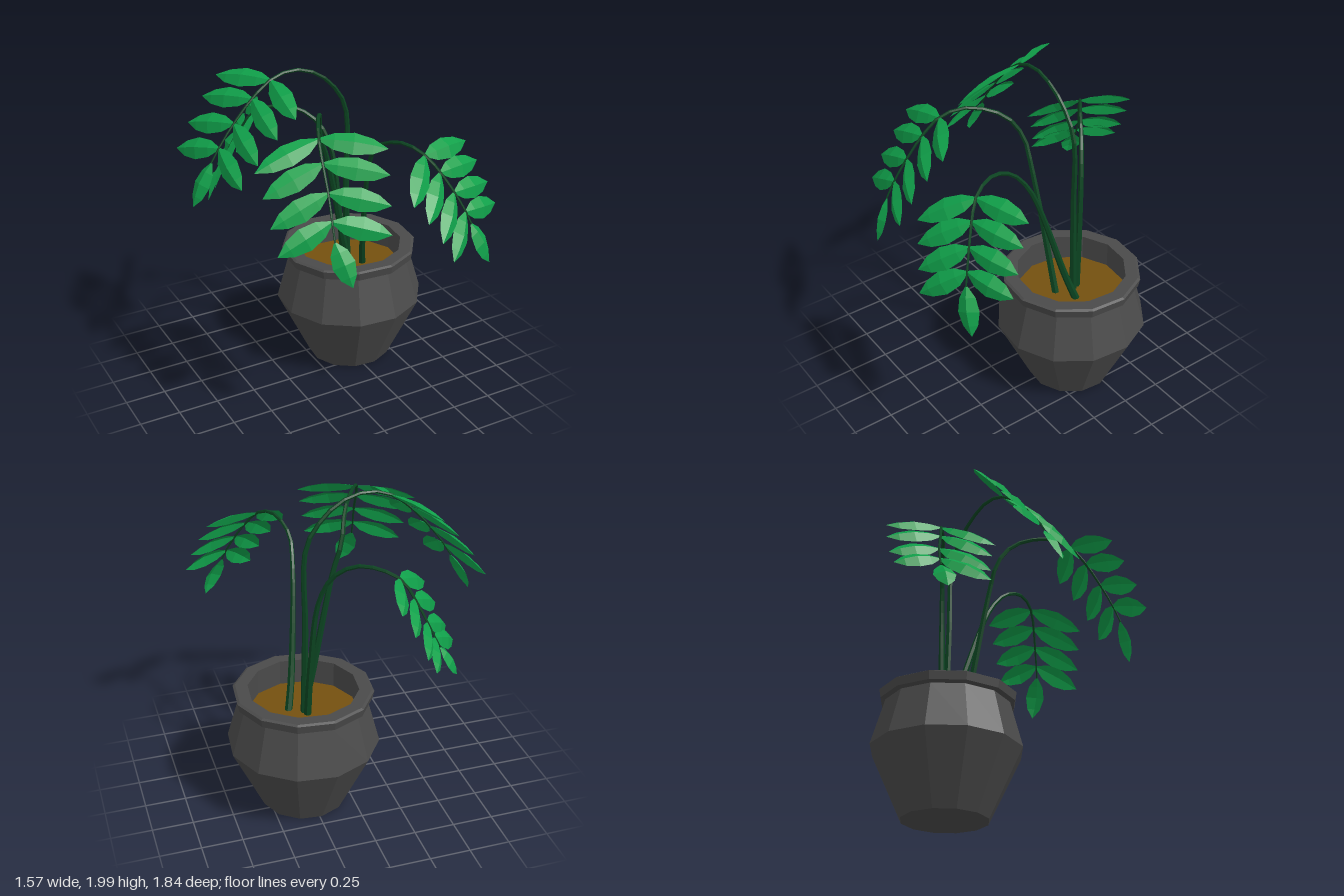
import * as THREE from 'three';

const mat = (name, color, side = THREE.FrontSide) => {
  const m = new THREE.MeshStandardMaterial({ color, flatShading: true, side });
  m.name = name;
  return m;
};
const V = (a) => new THREE.Vector3(...a);

// Each frond: stem points (the last five are four leaf nodes and the end),
// the tip of the end leaf, and the sideways reach of the first leaf pair.
const FRONDS = [
  { name: 'backFrond', tip: [-0.48, 1.05, -0.71], side: [0.17, 0.05, -0.27],
    stem: [[0.26, 0.6, -0.22], [0.24, 1.0, -0.245], [0.2, 1.4, -0.28], [0.13, 1.57, -0.33], [0, 1.66, -0.42],
      [-0.18, 1.62, -0.56], [-0.25, 1.51, -0.61], [-0.31, 1.38, -0.66], [-0.35, 1.29, -0.68], [-0.38, 1.23, -0.69]] },
  { name: 'rightFrond', tip: [-0.78, 1.28, -0.14], side: [0.08, -0.035, 0.36],
    stem: [[0.27, 0.6, -0.19], [0.255, 1.2, -0.185], [0.24, 1.7, -0.18], [0.14, 1.86, -0.175], [0.02, 1.95, -0.17], [-0.12, 1.985, -0.17],
      [-0.26, 1.95, -0.165], [-0.38, 1.86, -0.16], [-0.5, 1.73, -0.16], [-0.6, 1.6, -0.155], [-0.65, 1.52, -0.155]] },
  { name: 'frontRightFrond', tip: [-0.28, 1.1, 0.84], side: [0.355, 0.035, 0.095],
    stem: [[0.24, 0.6, -0.08], [0.19, 0.79, -0.075], [0.04, 1.45, -0.035], [-0.02, 1.63, -0.02], [-0.07, 1.78, 0.08], [-0.18, 1.84, 0.26],
      [-0.25, 1.79, 0.4], [-0.28, 1.69, 0.5], [-0.3, 1.56, 0.6], [-0.32, 1.43, 0.68], [-0.33, 1.33, 0.73]] },
  { name: 'frontLeftFrond', tip: [0.645, 1.0, 0.8], side: [0.28, 0.08, -0.17],
    stem: [[0.36, 0.6, -0.15], [0.32, 0.8, -0.085], [0.24, 1.45, 0.12], [0.225, 1.6, 0.24], [0.275, 1.67, 0.42],
      [0.34, 1.63, 0.55], [0.4, 1.54, 0.62], [0.46, 1.43, 0.68], [0.51, 1.32, 0.73], [0.535, 1.25, 0.755]] },
];

// Folded leaf blade from base to tip, with a raised midrib
function leafGeometry(base, tip, up) {
  const dir = tip.clone().sub(base);
  const across = new THREE.Vector3().crossVectors(up, dir).normalize();
  const rows = [[0, 0.008], [0.22, 0.05], [0.5, 0.066], [0.78, 0.046], [1, 0.001]];
  const pos = [], index = [];
  rows.forEach(([t, w], i) => {
    const mid = base.clone().addScaledVector(dir, t).addScaledVector(up, 0.028 * Math.sin(Math.PI * t));
    for (const s of [-1, 0, 1]) {
      const p = mid.clone().addScaledVector(across, s * w).addScaledVector(up, -Math.abs(s) * w * 0.4);
      pos.push(p.x, p.y, p.z);
    }
    if (i === 0) return;
    for (const c of [0, 1]) {
      const a = (i - 1) * 3 + c;
      index.push(a, a + 1, a + 4, a, a + 4, a + 3);
    }
  });
  const g = new THREE.BufferGeometry();
  g.setAttribute('position', new THREE.Float32BufferAttribute(pos, 3));
  g.setIndex(index);
  g.computeVertexNormals();
  return g;
}

// Tube that thins from the soil to the leaf end
function stemGeometry(points) {
  const curve = new THREE.CatmullRomCurve3(points, false, 'centripetal');
  const segments = 24, sides = 6;
  const g = new THREE.TubeGeometry(curve, segments, 1, sides);
  const p = g.attributes.position, v = new THREE.Vector3();
  for (let i = 0; i <= segments; i++) {
    const t = i / segments, centre = curve.getPointAt(t);
    const r = THREE.MathUtils.lerp(0.024, 0.005, Math.pow(t, 0.9));
    for (let j = 0; j <= sides; j++) {
      const k = i * (sides + 1) + j;
      v.fromBufferAttribute(p, k).sub(centre).multiplyScalar(r).add(centre);
      p.setXYZ(k, v.x, v.y, v.z);
    }
  }
  g.computeVertexNormals();
  return g;
}

export function createModel() {
  const potMat = mat('charcoalPot', 0x4a4a4a);
  const soilMat = mat('brownSoil', 0x74500f);
  const stemMat = mat('darkGreenStem', 0x0b4421);
  const leafMat = mat('greenLeaf', 0x10a04a, THREE.DoubleSide);

  const model = new THREE.Group();
  model.name = 'pottedPlant';
  const add = (parent, name, geometry, material) => {
    const m = new THREE.Mesh(geometry, material);
    m.name = name;
    parent.add(m);
    return m;
  };

  // Twelve-sided pot, leaning very slightly
  const pot = new THREE.Group();
  pot.name = 'pot';
  pot.position.set(0.28, 0.006, -0.172);
  pot.rotation.z = 0.014;
  model.add(pot);
  const turn = (pts) => new THREE.LatheGeometry(
    pts.map(([x, y]) => new THREE.Vector2(x, y)), 12, THREE.MathUtils.degToRad(9.5), Math.PI * 2);
  add(pot, 'potBody', turn([[0, 0], [0.265, 0], [0.465, 0.425], [0.385, 0.712], [0.415, 0.722],
    [0.425, 0.772], [0.41, 0.78], [0.335, 0.78], [0.335, 0.6]]), potMat);
  add(pot, 'soil', turn([[0.336, 0.62], [0, 0.62]]), soilMat);

  // Arching fronds
  for (const f of FRONDS) {
    const frond = new THREE.Group();
    frond.name = f.name;
    model.add(frond);
    const points = f.stem.map(V), side = V(f.side), tip = V(f.tip);
    add(frond, 'stem', stemGeometry(points), stemMat);

    const nodes = points.slice(-5);
    let up;
    for (let i = 0; i < 4; i++) {
      const along = nodes[i + 1].clone().sub(nodes[i]).normalize();
      up = new THREE.Vector3().crossVectors(side, along).normalize();
      if (up.y < 0) up.negate();
      // Leaf pair, swept forward along the stem
      for (const s of [-1, 1]) {
        const end = nodes[i].clone().addScaledVector(side, s * (1 - 0.05 * i)).addScaledVector(along, 0.13);
        add(frond, 'leaf', leafGeometry(nodes[i], end, up), leafMat);
      }
    }
    add(frond, 'endLeaf', leafGeometry(nodes[4], tip, up), leafMat);
  }
  return model;
}
